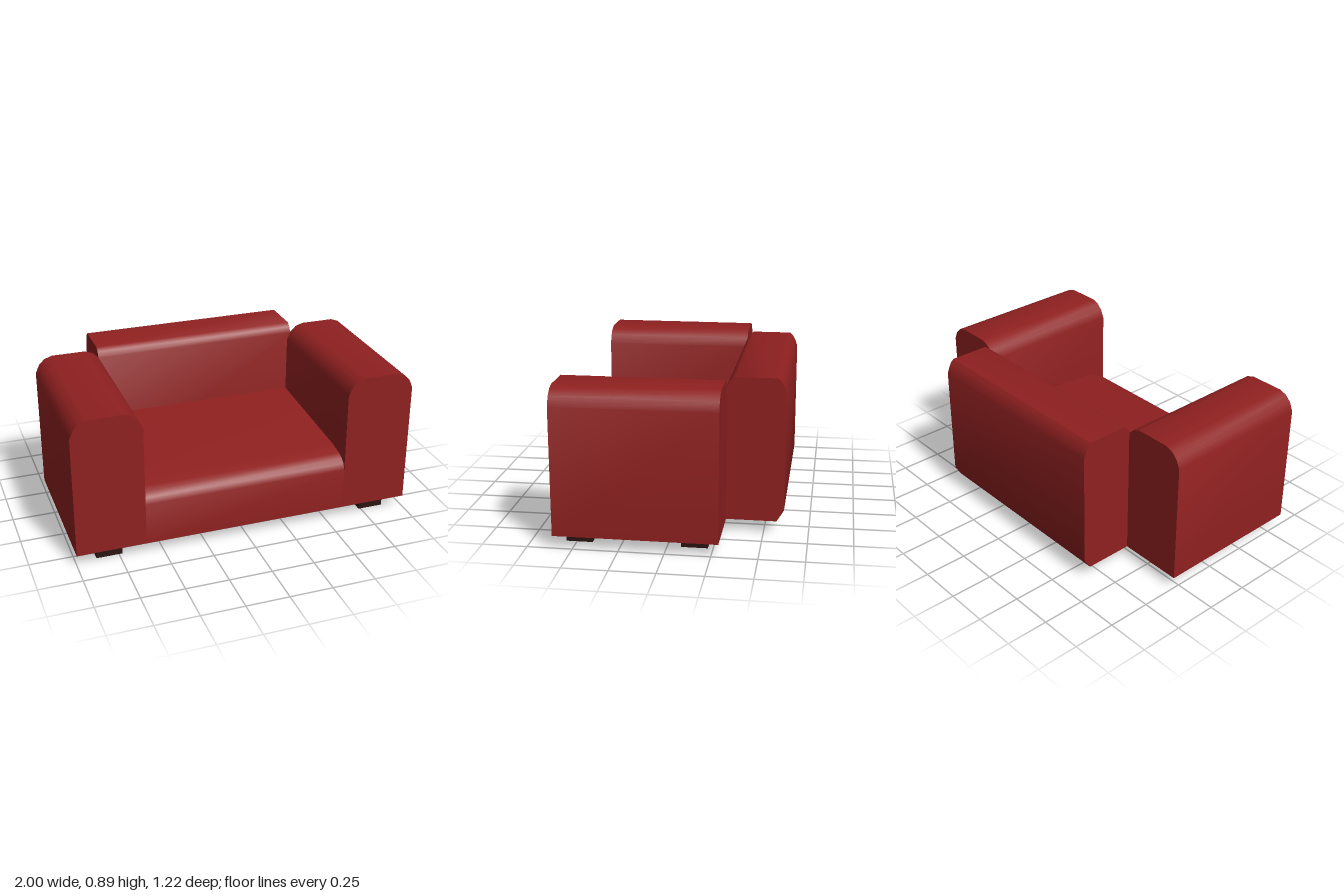
import * as THREE from 'three';
import { toCreasedNormals } from 'three/addons/utils/BufferGeometryUtils.js';

const red = new THREE.MeshStandardMaterial({ color: 0x8f2020 });
const darkWood = new THREE.MeshStandardMaterial({ color: 0x2a1512 });

// Extrudes a profile along z, centred, with smooth rounding and sharp ends
function extrude(points, depth) {
  const shape = new THREE.Shape(points.map(([x, y]) => new THREE.Vector2(x, y)));
  const geo = new THREE.ExtrudeGeometry(shape, { depth, bevelEnabled: false });
  geo.translate(0, 0, -depth / 2);
  return toCreasedNormals(geo, 0.7);
}

function addMesh(group, name, geometry, material) {
  const mesh = new THREE.Mesh(geometry, material);
  mesh.name = name;
  group.add(mesh);
  return mesh;
}

export function createModel() {
  const group = new THREE.Group();
  group.name = 'armchair';

  // Arms: boxes with rounded tops
  const armProfile = [
    [-0.2, 0.07], [0.2, 0.07], [0.2, 0.79], [0.178, 0.84], [0.145, 0.872], [0.1, 0.888],
    [-0.1, 0.888], [-0.145, 0.872], [-0.178, 0.84], [-0.2, 0.79],
  ];
  const armGeo = extrude(armProfile, 0.9);
  for (const [side, name] of [[1, 'leftArm'], [-1, 'rightArm']]) {
    addMesh(group, name, armGeo, red).position.set(side * 0.8, 0, 0.16);
  }

  // Seat: profile in (z, y), sloping gently to a rounded front edge
  const seatProfile = [
    [-0.29, 0.07], [0.61, 0.07], [0.61, 0.32], [0.595, 0.355], [0.57, 0.378],
    [0.53, 0.393], [0.44, 0.408], [-0.29, 0.455],
  ];
  addMesh(group, 'seat', extrude(seatProfile, 1.2).rotateY(-Math.PI / 2), red);

  // Backrest: rounded top, chamfered lower rear edge
  const backProfile = [
    [-0.572, 0.07], [-0.288, 0.07], [-0.288, 0.835], [-0.305, 0.868], [-0.33, 0.888],
    [-0.565, 0.888], [-0.585, 0.87], [-0.6, 0.84], [-0.612, 0.805], [-0.612, 0.135],
  ];
  addMesh(group, 'backrest', extrude(backProfile, 1.24).rotateY(-Math.PI / 2), red);

  // Feet: short square blocks under the arms
  const footGeo = new THREE.BoxGeometry(0.15, 0.07, 0.147);
  for (const x of [-0.805, 0.813]) {
    for (const z of [0.486, -0.148]) {
      addMesh(group, 'foot', footGeo, darkWood).position.set(x, 0.035, z);
    }
  }
  return group;
}
